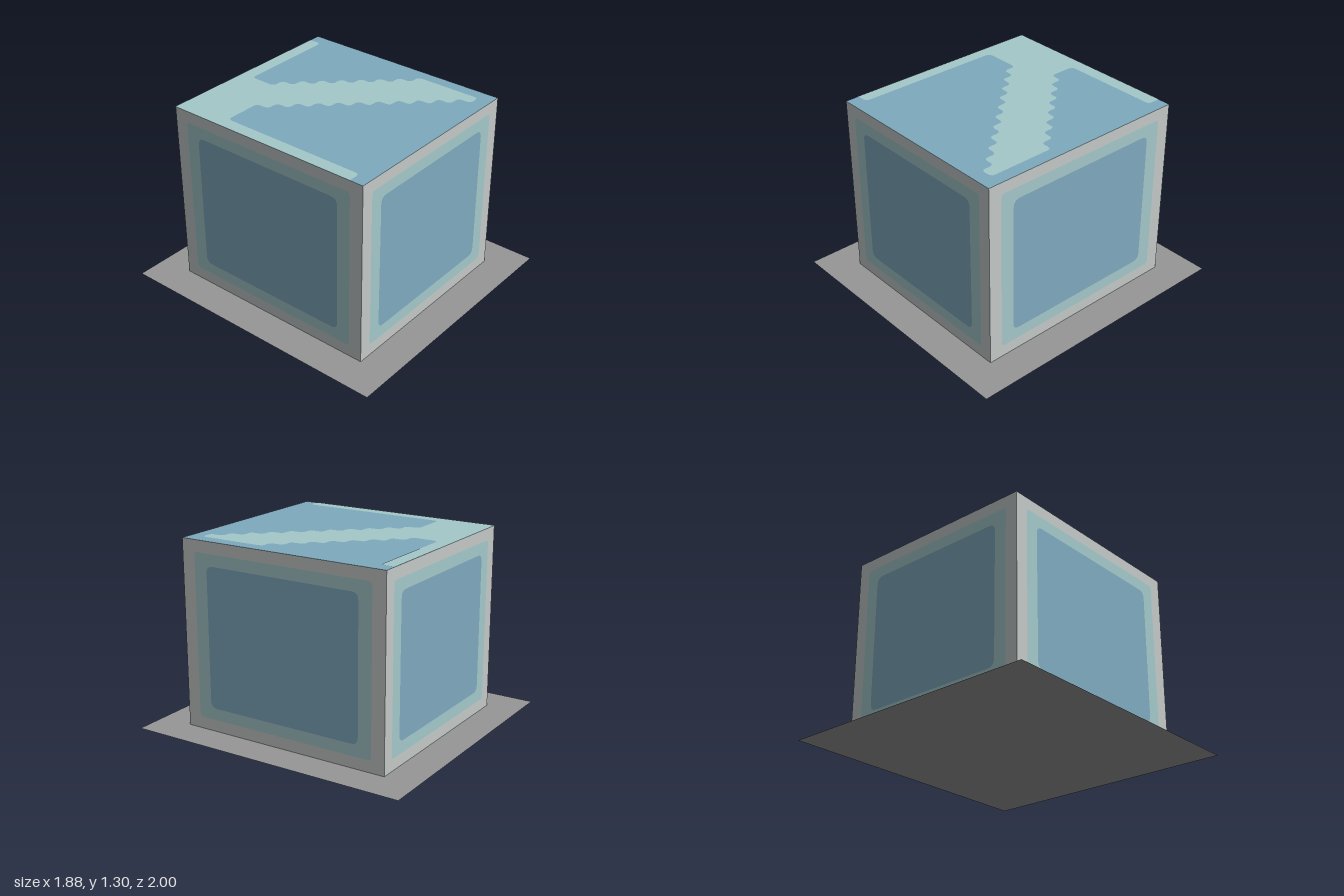
import * as THREE from 'three';

const W = 1.412, H = 1.295, D = 1.53, N = 16; // block size, and cells per face

const mat = (name, color, side = THREE.FrontSide) => {
  const m = new THREE.MeshStandardMaterial({ color, side });
  m.name = name;
  return m;
};

// Closed outline from grid points; corners inside the face are softened
function outline(cells, w, h, radius, Type = THREE.Shape) {
  const pts = cells.map(([i, j]) => new THREE.Vector2((i / N - 0.5) * w, (0.5 - j / N) * h));
  const out = new Type();
  pts.forEach((p, k) => {
    const prev = pts[(k + pts.length - 1) % pts.length], next = pts[(k + 1) % pts.length];
    const [i, j] = cells[k];
    const r = i % N === 0 || j % N === 0 ? 0 : radius;
    const a = p.clone().add(prev.clone().sub(p).setLength(r));
    const b = p.clone().add(next.clone().sub(p).setLength(r));
    if (k === 0) out.moveTo(a.x, a.y); else out.lineTo(a.x, a.y);
    if (r) out.quadraticCurveTo(p.x, p.y, b.x, b.y);
  });
  out.closePath();
  return out;
}

const square = (n) => [[n, n], [n, N - n], [N - n, N - n], [N - n, n]];

export function createModel() {
  const frameMat = mat('pale grey', 0xc3c9c8);
  const borderMat = mat('pale teal', 0xa4c8ca);
  const panelMat = mat('soft blue', 0x7faabf);
  const baseMat = mat('grey', 0x969696, THREE.DoubleSide);

  const model = new THREE.Group();
  model.name = 'block';
  const add = (parent, name, geometry, material) => {
    const mesh = new THREE.Mesh(geometry, material);
    mesh.name = name;
    parent.add(mesh);
    return mesh;
  };

  // Flat ground sheet
  add(model, 'base', new THREE.PlaneGeometry(1.88, 2).rotateX(-Math.PI / 2), baseMat);

  // Four walls: nested frame, border and centre panel
  ['front', 'left', 'back', 'right'].forEach((name, k) => {
    const [w, depth] = k % 2 ? [D, W] : [W, D];
    const wall = new THREE.Group();
    wall.name = name + 'Wall';
    [['Frame', frameMat, 0], ['Border', borderMat, 0.025], ['Panel', panelMat, 0.05]].forEach(([part, material, r], n) => {
      const shape = outline(square(n), w, H, r);
      if (n < 2) shape.holes.push(outline(square(n + 1), w, H, 0.025 * (n + 1), THREE.Path));
      add(wall, name + part, new THREE.ShapeGeometry(shape, 4), material).position.z = depth / 2;
    });
    wall.rotation.y = k * Math.PI / 2;
    wall.position.y = H / 2;
    model.add(wall);
  });

  // Top: blue face with a stepped diagonal band and two edge strips
  const top = new THREE.Group();
  top.name = 'top';
  add(top, 'topFace', new THREE.PlaneGeometry(W, D), panelMat);
  const band = [[0, 0], [15, 0], [15, 1], [7, 1], [7, 3]];
  for (let j = 3; j < 10; j++) band.push([j + 5, j], [j + 5, j + 1]);
  band.push([15, 10], [15, 15], [14, 15]);
  for (let j = 14; j > 4; j--) band.push([j, j], [j - 1, j]);
  band.push([4, 4], [1, 4], [1, 15], [0, 15]);
  add(top, 'topBand', new THREE.ShapeGeometry(outline(band.reverse(), W, D, 0.032), 3), borderMat).position.z = 0.002;
  top.rotation.x = -Math.PI / 2;
  top.position.y = H;
  model.add(top);

  return model;
}
